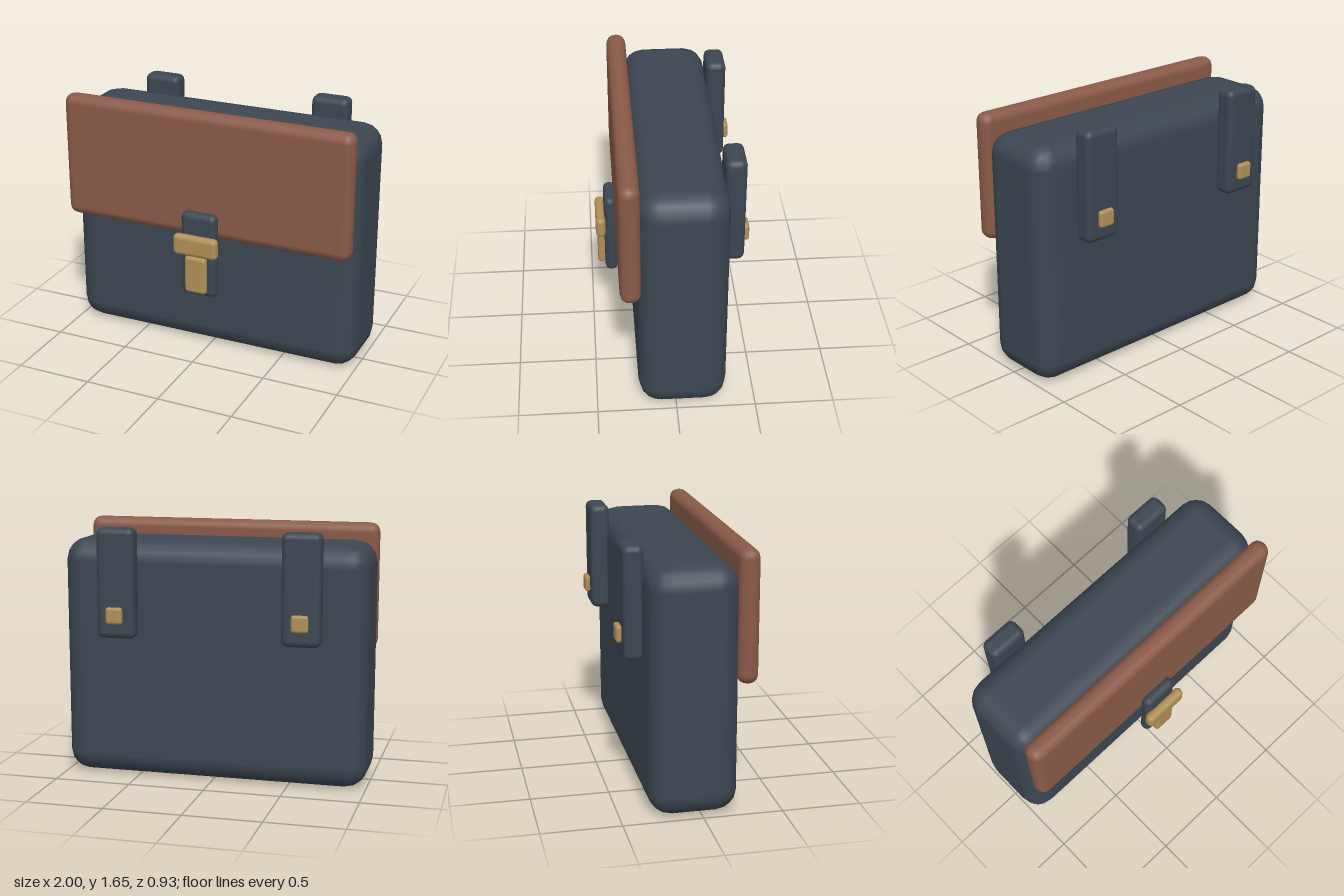
import * as THREE from 'three';
import { RoundedBoxGeometry } from 'three/addons/geometries/RoundedBoxGeometry.js';

const leather = new THREE.MeshStandardMaterial({ color: 0x3c4652 });
const tan = new THREE.MeshStandardMaterial({ color: 0x8a5a48 });
const brass = new THREE.MeshStandardMaterial({ color: 0xb09058 });

// Soft-edged block given by its width, centre x and its y and z extents
function block(name, material, width, x, [y0, y1], [z0, z1], radius) {
  const geometry = new RoundedBoxGeometry(width, y1 - y0, z1 - z0, 2, radius);
  const mesh = new THREE.Mesh(geometry, material);
  mesh.name = name;
  mesh.position.set(x, (y0 + y1) / 2, (z0 + z1) / 2);
  return mesh;
}

export function createModel() {
  const bag = new THREE.Group();
  bag.name = 'satchel';

  // Main body and front flap
  bag.add(block('body', leather, 2, 0, [0, 1.56], [-0.32, 0.235], 0.14));
  bag.add(block('flap', tan, 1.975, 0, [0.825, 1.655], [0.213, 0.343], 0.06));

  // Front closure
  const closure = new THREE.Group();
  closure.name = 'closure';
  closure.add(
    block('closureStrap', leather, 0.245, 0, [0.44, 1.012], [0.328, 0.41], 0.04),
    block('buckle', brass, 0.305, 0, [0.735, 0.875], [0.402, 0.467], 0.03),
    block('lockPlate', brass, 0.15, 0, [0.477, 0.733], [0.405, 0.457], 0.025)
  );
  bag.add(closure);

  // Back shoulder straps, each with a stud
  for (const [side, x] of [['left', 0.6], ['right', -0.6]]) {
    bag.add(
      block(side + 'ShoulderStrap', leather, 0.25, x, [0.938, 1.648], [-0.432, -0.302], 0.04),
      block(side + 'Stud', brass, 0.11, x, [1.037, 1.147], [-0.466, -0.426], 0.019)
    );
  }
  return bag;
}
